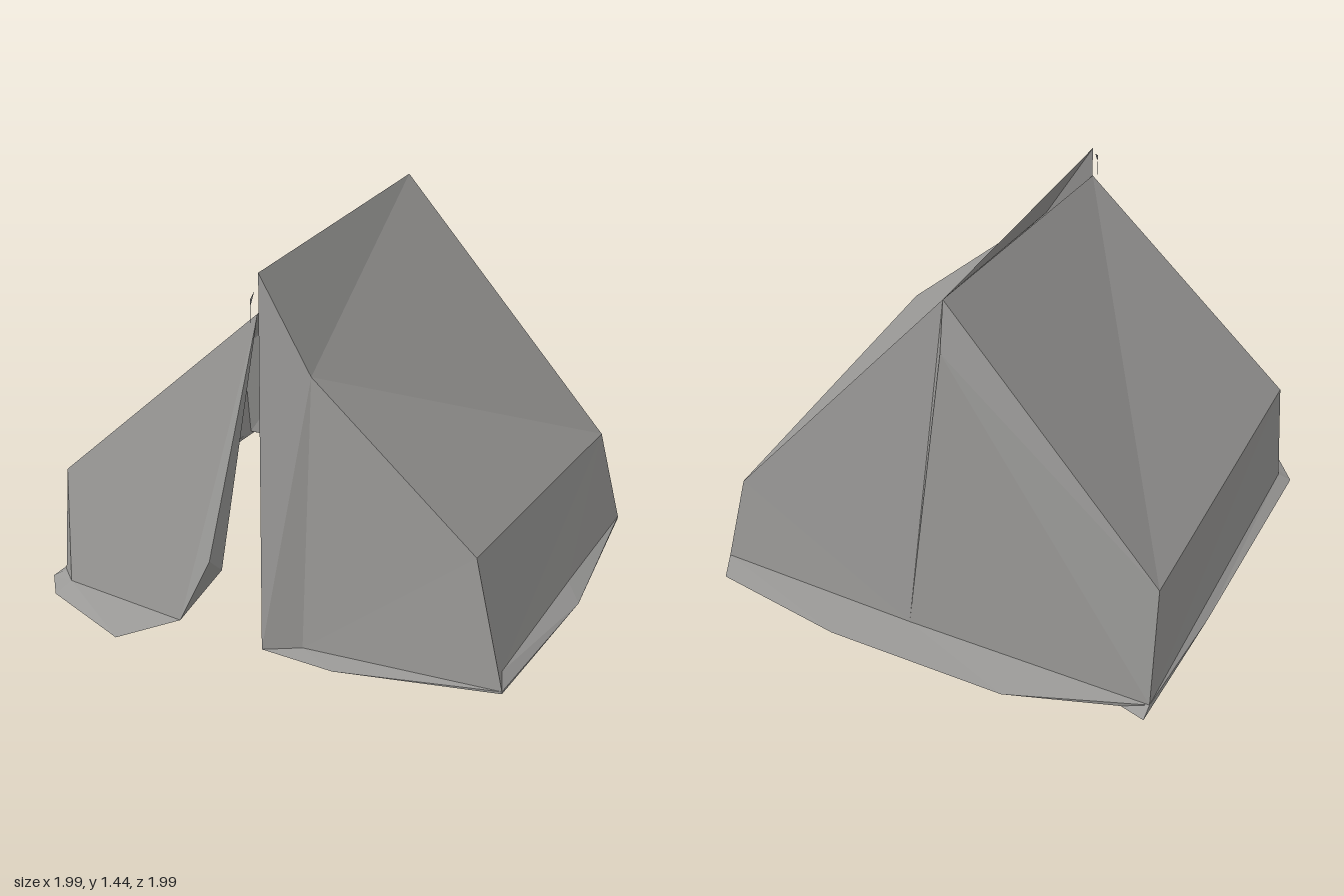
import * as THREE from 'three';

// Corner points of the tent cloth
const P = {
  ridgeFront: [-0.05, 1.42, 0.63], ridgeBack: [-0.05, 1.44, -0.70],
  // left (+x) half
  kink: [0.16, 1.07, 0.645], eaveLF: [0.80, 0.50, 0.645], eaveLB: [0.84, 0.40, -0.74],
  wallLF: [0.90, 0.04, 0.61], wallLM: [0.92, 0.04, -0.10], wallLB: [0.93, 0.01, -0.77],
  cornerL: [0.93, 0.01, 0.69], hemL: [0.16, 0.01, 0.74], doorL: [0.02, 0, 0.80],
  // right (-x) half
  doorTop: [-0.04, 1.28, 0.66], eaveRF: [-0.92, 0.48, 0.64], eaveRB: [-0.90, 0.49, -0.75],
  wallRF: [-0.95, 0.03, 0.66], wallRB: [-0.92, 0.02, -0.84], cornerR: [-0.87, 0.04, 0.74],
  hemR: [-0.30, 0.07, 0.85], flapOut: [-0.15, 0.37, 0.87], flapIn: [-0.14, 0.30, 0.80],
  // back seam
  seamTop: [-0.07, 1.27, -0.77], seamBase: [0.08, 0.01, -0.81],
  // outer edge of the ground skirt
  skL1: [0.32, 0, 0.82], skL2: [0.93, 0, 0.69], skL3: [0.99, 0, -0.02], skL4: [0.93, 0, -0.77],
  skB1: [0.88, 0, -0.88], skB2: [0.33, 0, -0.98], skB3: [-0.40, 0, -1.0], skB4: [-0.82, 0, -0.87],
  skB5: [-0.92, 0, -0.90], skR1: [-0.96, 0, -0.30], skR2: [-1.0, 0, 0.68],
  skF1: [-0.90, 0.01, 0.81], skF2: [-0.50, 0.02, 0.99],
};

export function createModel() {
  const tent = new THREE.Group();
  tent.name = 'tent';
  const cloth = new THREE.MeshStandardMaterial({ color: 0x9a9997, side: THREE.DoubleSide, flatShading: true });
  cloth.name = 'grey cloth';

  // One cloth panel from triangles of named corners
  function panel(name, triangles) {
    const pos = triangles.flatMap((t) => t.split(' ').flatMap((k) => P[k]));
    const geo = new THREE.BufferGeometry();
    geo.setAttribute('position', new THREE.Float32BufferAttribute(pos, 3));
    geo.computeVertexNormals();
    const mesh = new THREE.Mesh(geo, cloth);
    mesh.name = name;
    tent.add(mesh);
  }

  // Roof slopes
  panel('leftRoof', [
    'ridgeBack ridgeFront kink', 'ridgeBack kink eaveLB', 'kink eaveLF eaveLB',
  ]);
  panel('rightRoof', ['ridgeBack eaveRB doorTop', 'eaveRB eaveRF doorTop']);

  // Low side walls
  panel('leftWall', [
    'eaveLF cornerL wallLF', 'eaveLF wallLF eaveLB', 'wallLF wallLM eaveLB', 'wallLM wallLB eaveLB',
  ]);
  panel('rightWall', ['eaveRB wallRB eaveRF', 'wallRB wallRF eaveRF', 'eaveRF wallRF cornerR']);

  // Front panels on both sides of the door
  panel('leftFront', [
    'ridgeFront doorL kink', 'doorL hemL kink', 'kink hemL eaveLF', 'hemL cornerL eaveLF',
  ]);
  panel('rightFront', ['doorTop eaveRF cornerR', 'doorTop cornerR hemR', 'doorTop hemR flapOut']);
  panel('doorFlapFold', ['doorTop flapOut flapIn', 'flapOut hemR flapIn']);

  // Back panels meeting at a folded seam
  panel('leftBack', ['ridgeBack eaveLB seamBase', 'eaveLB wallLB seamBase']);
  panel('rightBack', [
    'seamTop seamBase wallRB', 'seamTop wallRB eaveRB', 'ridgeBack seamTop eaveRB',
  ]);
  panel('backSeam', ['ridgeBack seamBase seamTop']);

  // Ground skirt
  panel('leftSkirt', [
    'cornerL wallLF skL3', 'wallLF wallLM skL3', 'wallLM wallLB skL3', 'wallLB skL4 skL3', 'cornerL skL3 skL2',
  ]);
  panel('leftFrontSkirt', ['doorL skL1 hemL', 'hemL skL1 cornerL', 'skL1 skL2 cornerL']);
  panel('backSkirt', [
    'wallLB skB1 skB2', 'wallLB skB2 seamBase', 'seamBase skB2 skB3', 'seamBase skB3 wallRB',
    'skB3 skB4 wallRB', 'skB4 skB5 wallRB',
  ]);
  panel('rightSkirt', ['wallRB skB5 skR1', 'wallRB skR1 wallRF', 'skR1 skR2 wallRF']);
  panel('rightFrontSkirt', [
    'wallRF skR2 cornerR', 'skR2 skF1 cornerR', 'skF1 skF2 cornerR', 'skF2 hemR cornerR',
  ]);

  // Small tie hanging above the door
  const tie = new THREE.Shape([[-0.68, 1.37], [-0.71, 1.35], [-0.71, 1.21], [-0.705, 1.33]]
    .map(([x, y]) => new THREE.Vector2(x, y)));
  const tieMesh = new THREE.Mesh(new THREE.ShapeGeometry(tie), cloth);
  tieMesh.name = 'doorTie';
  tieMesh.rotation.y = Math.PI / 2;
  tieMesh.position.x = -0.04;
  tent.add(tieMesh);

  return tent;
}
